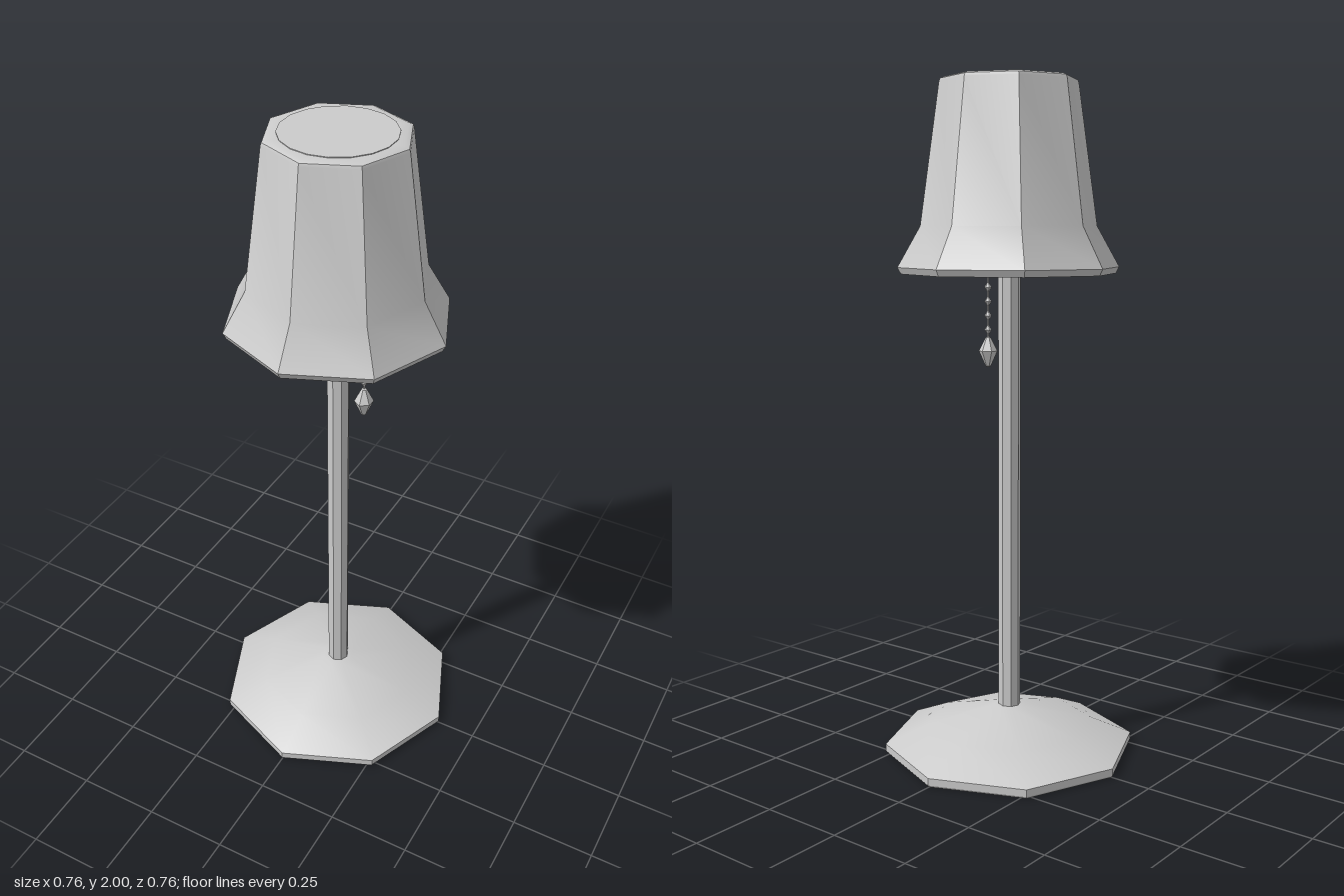
import * as THREE from 'three';
import { toCreasedNormals } from 'three/addons/utils/BufferGeometryUtils.js';

const material = new THREE.MeshStandardMaterial({ color: 0xcccccc });

// Turned part from [radius, y] pairs; corners sharper than about 30 degrees stay crisp.
function turned(name, profile, sides) {
  const points = profile.map(([r, y]) => new THREE.Vector2(r, y));
  const geometry = toCreasedNormals(new THREE.LatheGeometry(points, sides), 0.52);
  const mesh = new THREE.Mesh(geometry, material);
  mesh.name = name;
  return mesh;
}

export function createModel() {
  const lamp = new THREE.Group();
  lamp.name = 'tableLamp';

  // Octagonal foot
  lamp.add(turned('base', [
    [0, 0], [0.374, 0], [0.378, 0.006], [0.378, 0.027], [0.25, 0.083], [0.05, 0.138], [0, 0.142],
  ], 8));

  // Pole running up to the top of the shade
  lamp.add(turned('stem', [[0, 0.1], [0.033, 0.1], [0.033, 1.999], [0, 1.999]], 8));

  // Thick-walled flared shade: up the outside, over the rim, down the inside
  lamp.add(turned('shade', [
    [0.268, 1.443], [0.315, 1.443], [0.325, 1.462], [0.258, 1.58], [0.201, 1.985], [0.198, 1.993],
    [0.186, 1.998], [0.155, 1.998], [0.157, 1.975], [0.216, 1.575], [0.268, 1.443],
  ], 8));

  // Round plate closing the top of the shade
  lamp.add(turned('topPlate', [[0, 1.98], [0.157, 1.98], [0.157, 2], [0, 2]], 18));

  // Pull chain hanging beside the pole
  const chain = new THREE.Group();
  chain.name = 'pullChain';
  chain.position.set(0.088, 0, 0.01);
  chain.add(turned('cord', [[0.003, 1.24], [0.003, 1.62]], 6));
  for (let y = 1.275; y < 1.62; y += 0.042) {
    chain.add(turned('bead', [[0, y - 0.018], [0.011, y], [0, y + 0.018]], 6));
  }
  chain.add(turned('pendant', [
    [0, 1.163], [0.008, 1.167], [0.028, 1.212], [0.008, 1.252], [0, 1.256],
  ], 6));
  lamp.add(chain);

  // Short arm holding the chain inside the shade
  const arm = new THREE.Mesh(new THREE.CylinderGeometry(0.008, 0.008, 0.09, 6), material);
  arm.name = 'chainArm';
  arm.rotation.z = Math.PI / 2;
  arm.position.set(0.05, 1.62, 0.01);
  lamp.add(arm);

  return lamp;
}
